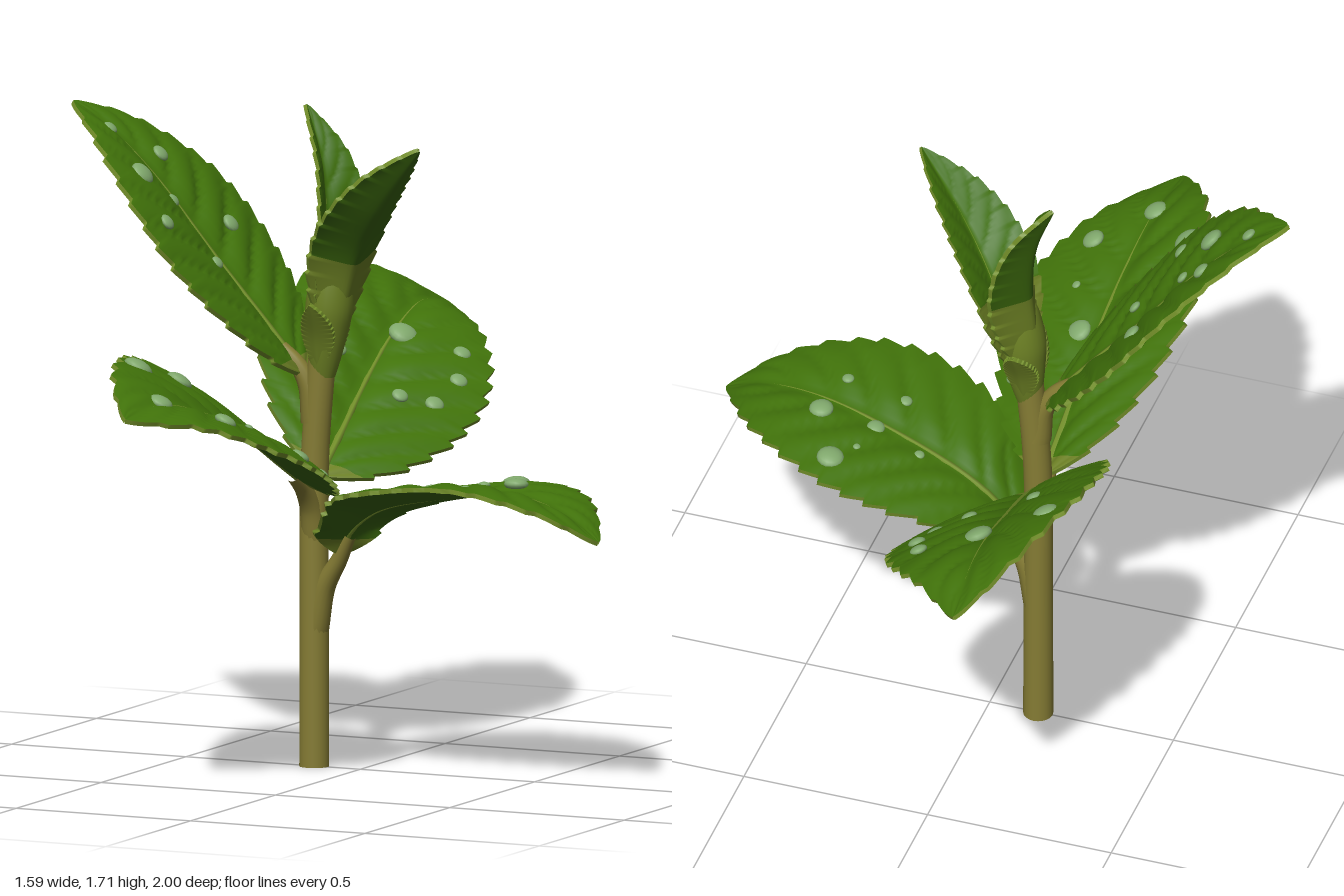
import * as THREE from 'three';

const mat = (name, color, side = THREE.FrontSide) => {
  const m = new THREE.MeshStandardMaterial({ color, side });
  m.name = name;
  return m;
};
const V = (x, y, z) => new THREE.Vector3(x, y, z);
const spline = (points) => new THREE.CatmullRomCurve3(points.map((p) => V(...p)));
const ROWS = 120, COLS = 20, TEETH = 14;

// Leaf surface: a spine swept by a serrated, cupped and quilted cross-section
function leafSurface({ spine, up, width, cup }) {
  const curve = spline(spine);
  const U = V(...up);
  const size = width / 0.28;
  const frame = (t) => {
    const T = curve.getTangentAt(t);
    const S = U.clone().cross(T).normalize();
    return { C: curve.getPointAt(t), S, N: T.clone().cross(S).normalize() };
  };
  const point = (t, s, top, f = frame(t)) => {
    const a = Math.abs(s);
    const outline = Math.pow(Math.max(0, Math.sin(Math.PI * Math.pow(t, 0.9))), 0.72) * (1 - 0.35 * t ** 7);
    const tooth = ((t * TEETH) % 1) * 0.024 * size * Math.min(1, outline * 2) * a ** 4;
    const w = (width - 0.013 * size) * outline * a + tooth;
    let h = cup * width * outline * (Math.sqrt(a * a + 0.02) - 0.14);
    if (top) {
      const quilt = Math.sqrt(Math.abs(Math.sin(Math.PI * 8 * (t - 0.22 * a))));
      h += 0.004 + 0.022 * size * quilt * (1 - a ** 4) * Math.min(1, a * 4) * outline;
    } else h -= 0.008;
    return f.C.clone().addScaledVector(f.S, w * Math.sign(s)).addScaledVector(f.N, h);
  };
  return { curve, frame, point };
}

// Grid of points turned into a smooth mesh geometry
function grid(rows, cols, fn, flip) {
  const pos = [], idx = [];
  for (let i = 0; i <= rows; i++) {
    for (let j = 0; j <= cols; j++) pos.push(...fn(i, j).toArray());
  }
  for (let i = 0; i < rows; i++) {
    for (let j = 0; j < cols; j++) {
      const a = i * (cols + 1) + j, b = a + 1, c = a + cols + 1, d = c + 1;
      if (flip) idx.push(a, b, c, b, d, c);
      else idx.push(a, c, b, b, c, d);
    }
  }
  const g = new THREE.BufferGeometry();
  g.setAttribute('position', new THREE.Float32BufferAttribute(pos, 3));
  g.setIndex(idx);
  g.computeVertexNormals();
  return g;
}

// Tube along a curve whose radius runs from r0 to r1
function taperedTube(curve, r0, r1, sides = 16) {
  const n = 30;
  const g = new THREE.TubeGeometry(curve, n, 1, sides);
  const p = g.attributes.position, v = V(0, 0, 0);
  for (let i = 0; i < p.count; i++) {
    const t = Math.floor(i / (sides + 1)) / n;
    const c = curve.getPointAt(t);
    v.fromBufferAttribute(p, i).sub(c).multiplyScalar(r0 + (r1 - r0) * t).add(c);
    p.setXYZ(i, v.x, v.y, v.z);
  }
  return g;
}

export function createModel() {
  const model = new THREE.Group();
  model.name = 'leafySprig';
  const stemMat = mat('stem olive', 0x857c34);
  const budMat = mat('bud green', 0x6c8024);
  const topMat = mat('leaf green', 0x41730a);
  const underMat = mat('leaf underside', 0x38620b);
  const rimMat = mat('leaf edge', 0x74902a, THREE.DoubleSide);
  const dropMat = mat('dew', 0x80a86c);

  const add = (parent, name, geometry, material) => {
    const m = new THREE.Mesh(geometry, material);
    m.name = name;
    parent.add(m);
    return m;
  };

  // Leaf with two faces, a rim, a midrib and dew drops given as [x, z, radius];
  // the share "base" next to the stem takes the bud colour
  function addLeaf(name, spec) {
    const { base = 0.05, drops = [], width } = spec;
    const group = new THREE.Group();
    group.name = name;
    model.add(group);
    const { curve, frame, point } = leafSurface(spec);
    const split = Math.round(ROWS * base) * COLS * 6;
    const addFace = (part, top, material) => {
      const g = grid(ROWS, COLS, (i, j) => point(i / ROWS * 0.9999, j / COLS * 2 - 1, top), !top);
      g.addGroup(0, split, 0);
      g.addGroup(split, ROWS * COLS * 6 - split, 1);
      add(group, part, g, [budMat, material]);
    };
    addFace('upperFace', true, topMat);
    addFace('underFace', false, underMat);
    for (const s of [-1, 1]) {
      add(group, 'rim', grid(ROWS, 1, (i, j) => point(i / ROWS * 0.9999, s, j === 1), s > 0), rimMat);
    }
    add(group, 'midrib', taperedTube(curve, 0.0125 * Math.sqrt(width / 0.28), 0.003, 6), rimMat);

    for (const [x, z, r] of drops) {
      let best = null, dist = Infinity;
      for (let i = 4; i < 60; i++) {
        const f = frame(i / 60);
        for (let j = -19; j <= 19; j++) {
          const p = point(i / 60, j / 20, true, f);
          const d = Math.hypot(p.x - x, p.z - z);
          if (d < dist) { dist = d; best = { p, n: f.N }; }
        }
      }
      const drop = add(group, 'dewDrop', new THREE.SphereGeometry(r, 16, 10), dropMat);
      drop.position.copy(best.p);
      drop.quaternion.setFromUnitVectors(V(0, 1, 0), best.n);
      drop.scale.y = 0.5;
    }
  }

  // Stem
  const stemPath = spline([[-0.132, 0, 0], [-0.132, 0.4, 0], [-0.13, 0.8, 0], [-0.108, 1.08, 0]]);
  add(model, 'stem', taperedTube(stemPath, 0.039, 0.036, 20), stemMat);
  const foot = add(model, 'stemFoot', new THREE.CircleGeometry(0.039, 20), stemMat);
  foot.rotation.x = Math.PI / 2;
  foot.position.set(-0.132, 0.0005, 0);

  // Leaf stalks
  const stalks = [
    [[-0.13, 0.36, 0], [-0.1, 0.47, 0.004], [-0.055, 0.545, 0.01], [-0.02, 0.61, 0.02]],
    [[-0.13, 0.9, 0], [-0.145, 0.99, 0.004], [-0.175, 1.045, 0.008], [-0.22, 1.09, 0.01]],
    [[-0.13, 0.6, 0], [-0.133, 0.68, 0.02], [-0.137, 0.73, 0.055], [-0.14, 0.77, 0.11]],
    [[-0.13, 0.6, 0], [-0.133, 0.68, -0.02], [-0.137, 0.73, -0.055], [-0.14, 0.77, -0.11]],
  ];
  for (const path of stalks) add(model, 'leafStalk', taperedTube(spline(path), 0.037, 0.016), stemMat);

  // Bud at the tip of the stem
  const profile = [[0.032, 0], [0.043, 0.05], [0.055, 0.12], [0.062, 0.18], [0.056, 0.25], [0.042, 0.3], [0, 0.34]];
  const budCurve = new THREE.SplineCurve(profile.map(([x, y]) => new THREE.Vector2(x, y)));
  const budPoints = budCurve.getPoints(24).map((p) => new THREE.Vector2(Math.max(0, p.x), p.y));
  const bud = add(model, 'bud', new THREE.LatheGeometry(budPoints, 24), budMat);
  bud.position.set(-0.107, 1.02, 0);
  bud.rotation.z = -0.1;

  // Four large leaves
  addLeaf('leftLeaf', {
    spine: [[-0.055, 0.56, 0.01], [-0.02, 0.625, 0.02], [0.06, 0.685, 0.03], [0.25, 0.735, 0.08], [0.5, 0.765, 0.14], [0.68, 0.73, 0.19], [0.79, 0.67, 0.22]],
    up: [0, 1, -0.1], width: 0.275, cup: 0.07,
    drops: [[0.41, -0.09, 0.036], [0.49, 0.07, 0.032], [0.33, 0.07, 0.024], [0.29, 0.18, 0.017], [0.46, 0.2, 0.016], [0.2, 0.03, 0.014], [0.36, -0.02, 0.01]],
  });
  addLeaf('rightLeaf', {
    spine: [[-0.16, 1.02, 0.005], [-0.24, 1.12, 0.015], [-0.4, 1.31, 0.03], [-0.56, 1.51, 0.05], [-0.69, 1.635, 0.06], [-0.79, 1.7, 0.07]],
    up: [0.8, 0.6, 0], width: 0.285, cup: 0.1,
    drops: [[-0.55, 0.15, 0.034], [-0.68, 0.08, 0.02], [-0.58, -0.02, 0.024], [-0.45, 0.22, 0.022], [-0.42, -0.1, 0.026], [-0.36, 0.1, 0.018], [-0.5, 0.07, 0.018]],
  });
  addLeaf('frontLeaf', {
    spine: [[-0.137, 0.745, 0.04], [-0.142, 0.81, 0.17], [-0.15, 0.91, 0.37], [-0.16, 0.995, 0.6], [-0.175, 1.045, 0.82], [-0.19, 1.03, 0.995]],
    up: [0.43, 1, 0], width: 0.29, cup: 0.1,
    drops: [[-0.28, 0.5, 0.036], [-0.1, 0.43, 0.036], [-0.33, 0.64, 0.04], [-0.04, 0.71, 0.03], [-0.18, 0.81, 0.033], [0.06, 0.49, 0.026], [0.05, 0.32, 0.018], [-0.05, 0.55, 0.012]],
  });
  addLeaf('backLeaf', {
    spine: [[-0.137, 0.75, -0.04], [-0.15, 0.83, -0.18], [-0.18, 0.945, -0.4], [-0.205, 1.045, -0.62], [-0.225, 1.095, -0.82], [-0.24, 1.07, -1.0]],
    up: [0.5, 1, 0], width: 0.3, cup: 0.1,
    drops: [[-0.36, -0.61, 0.036], [-0.17, -0.62, 0.04], [-0.03, -0.67, 0.024], [0, -0.57, 0.024], [0, -0.45, 0.026], [-0.26, -0.4, 0.022], [-0.08, -0.4, 0.022]],
  });

  // Young folded leaves above the bud
  addLeaf('youngLeftLeaf', {
    spine: [[-0.075, 1.1, 0.01], [-0.04, 1.22, 0.015], [0.005, 1.34, 0.035], [0.1, 1.48, 0.09], [0.235, 1.65, 0.14]],
    up: [-0.9, 0.6, -0.5], width: 0.11, cup: 0.65, base: 0.36,
  });
  addLeaf('youngRightLeaf', {
    spine: [[-0.12, 1.1, -0.005], [-0.125, 1.25, -0.02], [-0.12, 1.4, -0.04], [-0.14, 1.56, -0.06], [-0.195, 1.71, -0.08]],
    up: [1, 0.2, 0.25], width: 0.095, cup: 0.75, base: 0.45,
  });

  // Small scales beside the bud
  for (const s of [-1, 1]) {
    addLeaf('budScale', {
      spine: [[-0.105, 1.05, 0.03 * s], [-0.1, 1.13, 0.055 * s], [-0.095, 1.22, 0.1 * s]],
      up: [0, 0.4, -s], width: 0.045, cup: 0.4, base: 1,
    });
  }
  return model;
}
